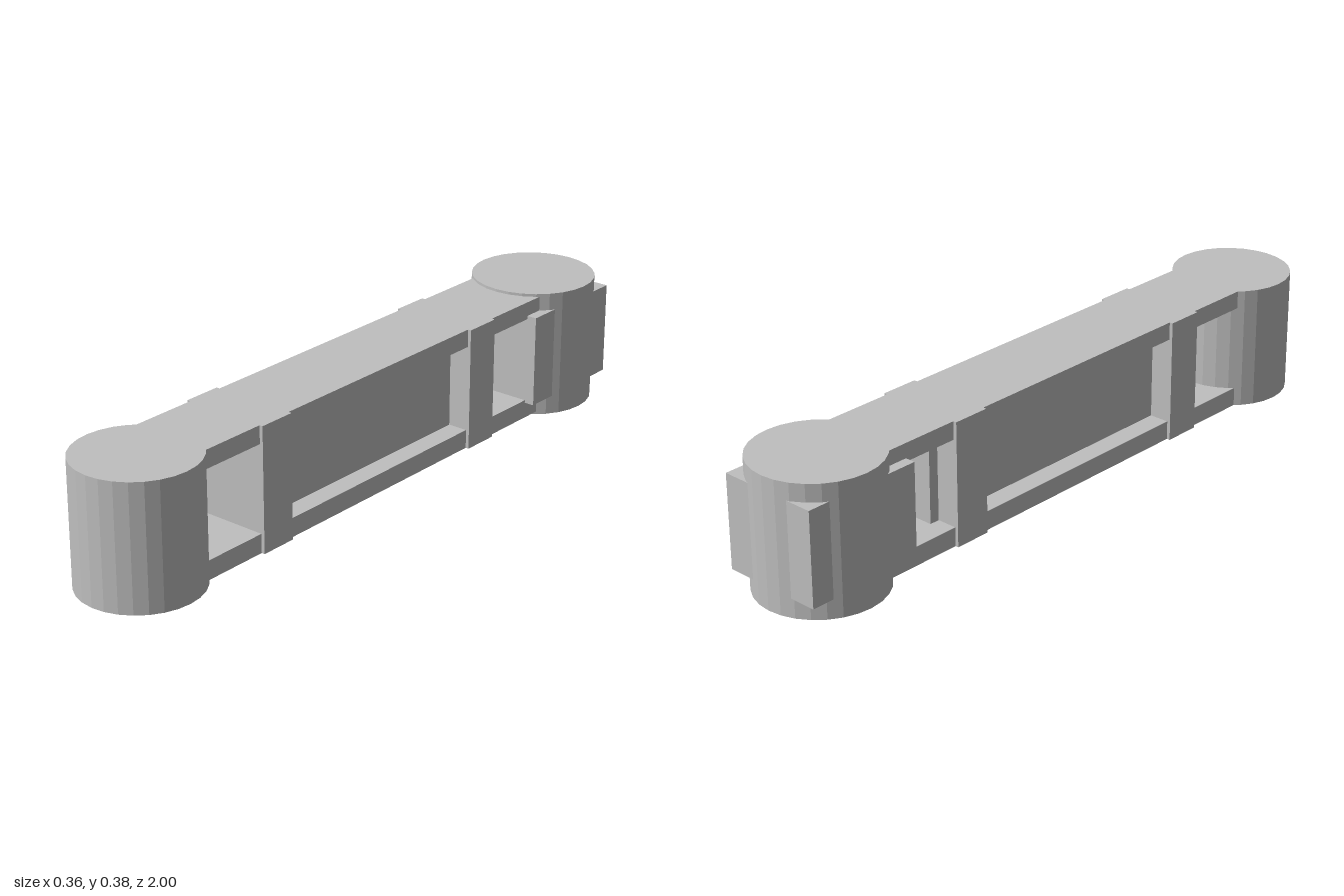
import * as THREE from 'three';

export function createModel() {
  const group = new THREE.Group();
  const grey = new THREE.MeshStandardMaterial({ color: 0xbfbfbf, flatShading: true });
  grey.name = 'plain grey';

  const add = (name, geometry, x, y, z) => {
    const mesh = new THREE.Mesh(geometry, grey);
    mesh.name = name;
    mesh.position.set(x, y, z);
    group.add(mesh);
  };
  // Box spanning x = -halfWidth..halfWidth and the given y and z ranges
  const block = (name, halfWidth, y0, y1, z0, z1) =>
    add(name, new THREE.BoxGeometry(halfWidth * 2, y1 - y0, z1 - z0), 0, (y0 + y1) / 2, (z0 + z1) / 2);
  // Upright drum
  const drum = (name, radius, y0, y1, z) =>
    add(name, new THREE.CylinderGeometry(radius, radius, y1 - y0, 28), 0, (y0 + y1) / 2, z);

  const low = 0.008, high = 0.367;

  // End drums
  drum('frontDrum', 0.172, low, high, 0.828);
  drum('backDrum', 0.18, 0, 0.375, -0.82);

  // Square block whose corners form the teeth of the back drum
  block('toothBlock', 0.15, 0.055, 0.325, -0.985, -0.63);

  // Upper and lower flanges of the arm
  block('bottomFlange', 0.12, low, 0.063, -0.75, 0.75);
  block('topFlange', 0.12, 0.315, high, -0.75, 0.75);

  // Recessed web with a short stub behind the rear post
  block('web', 0.06, 0.05, 0.325, -0.49, 0.45);

  // Cross posts, slightly wider than the flanges
  block('frontPost', 0.13, low, high, 0.4, 0.51);
  block('backPost', 0.13, low, high, -0.46, -0.35);

  return group;
}
